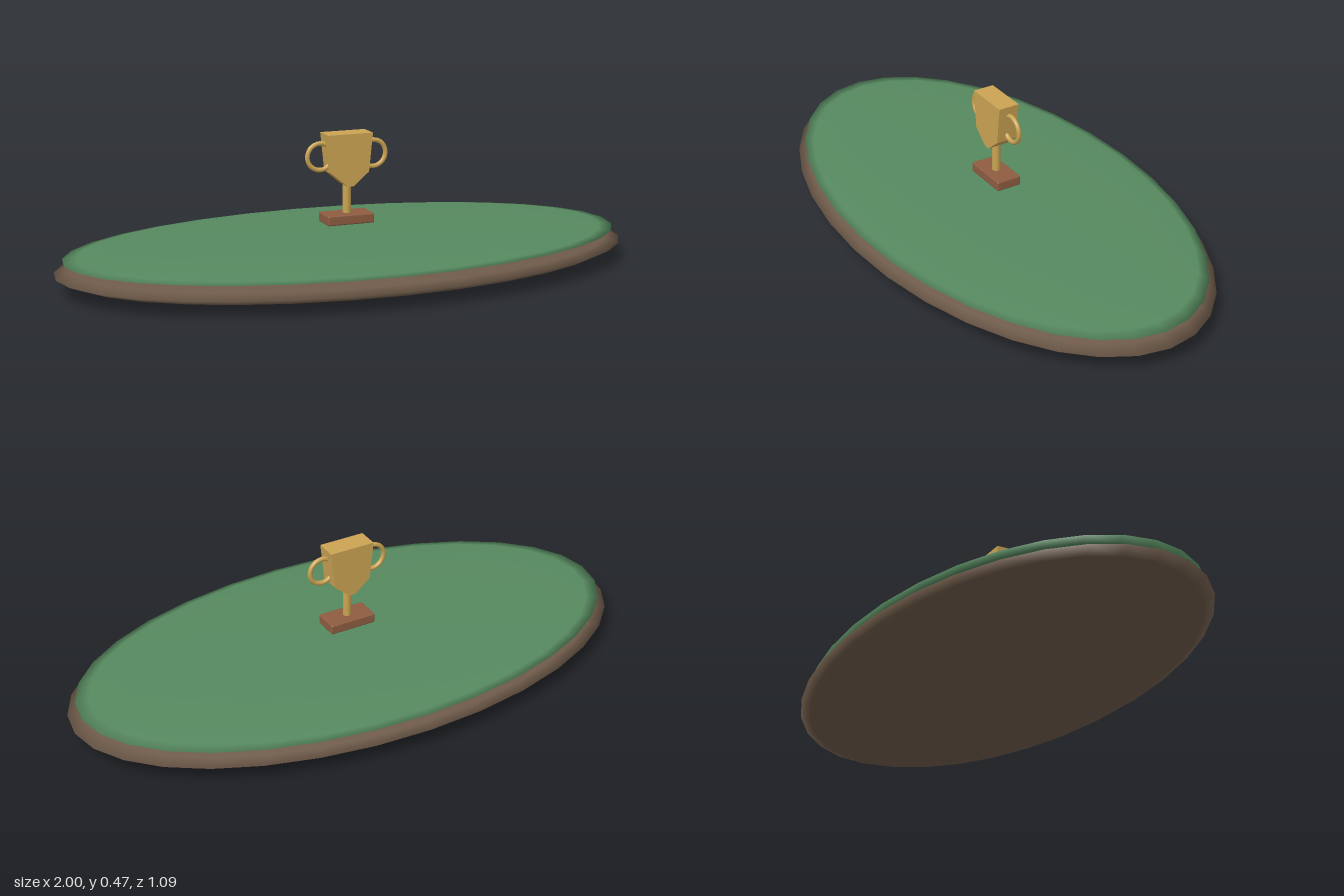
import * as THREE from 'three';
import { RoundedBoxGeometry } from 'three/addons/geometries/RoundedBoxGeometry.js';

function material(name, color) {
  const m = new THREE.MeshStandardMaterial({ color });
  m.name = name;
  return m;
}

export function createModel() {
  const group = new THREE.Group();
  const earth = material('earth brown', 0x6e5a49);
  const grass = material('grass green', 0x56895f);
  const gold = material('gold', 0xcba453);
  const wood = material('wood brown', 0x8e5c40);

  function add(name, geometry, mat, x = 0, y = 0, z = 0) {
    const mesh = new THREE.Mesh(geometry, mat);
    mesh.name = name;
    mesh.position.set(x, y, z);
    group.add(mesh);
    return mesh;
  }

  // Island: two flattened spheres, earth below and grass on top
  const disc = () => new THREE.SphereGeometry(1, 32, 10);
  add('earthDisc', disc(), earth, 0, 0.06, 0).scale.set(1, 0.06, 0.545);
  add('grassDisc', disc(), grass, 0, 0.104, 0).scale.set(0.972, 0.02, 0.522);

  // Floating trophy: plinth and stem
  add('plinth', new RoundedBoxGeometry(0.166, 0.034, 0.09, 2, 0.005), wood, 0, 0.185, 0);
  add('stem', new THREE.CylinderGeometry(0.014, 0.014, 0.11, 16), gold, 0, 0.25, 0);

  // Cup: shield outline extruded front to back
  const outline = new THREE.Shape([
    [-0.08, 0.474], [-0.066, 0.343], [-0.011, 0.297],
    [0.011, 0.297], [0.066, 0.343], [0.08, 0.474],
  ].map(([x, y]) => new THREE.Vector2(x, y)));
  const depth = 0.074;
  add('cup', new THREE.ExtrudeGeometry(outline, { depth, bevelEnabled: false }), gold, 0, 0, -depth / 2);

  // Ring handles, one on each side
  for (const [name, side] of [['leftHandle', 1], ['rightHandle', -1]]) {
    add(name, new THREE.TorusGeometry(0.045, 0.008, 10, 28), gold, side * 0.095, 0.398, 0);
  }

  return group;
}
